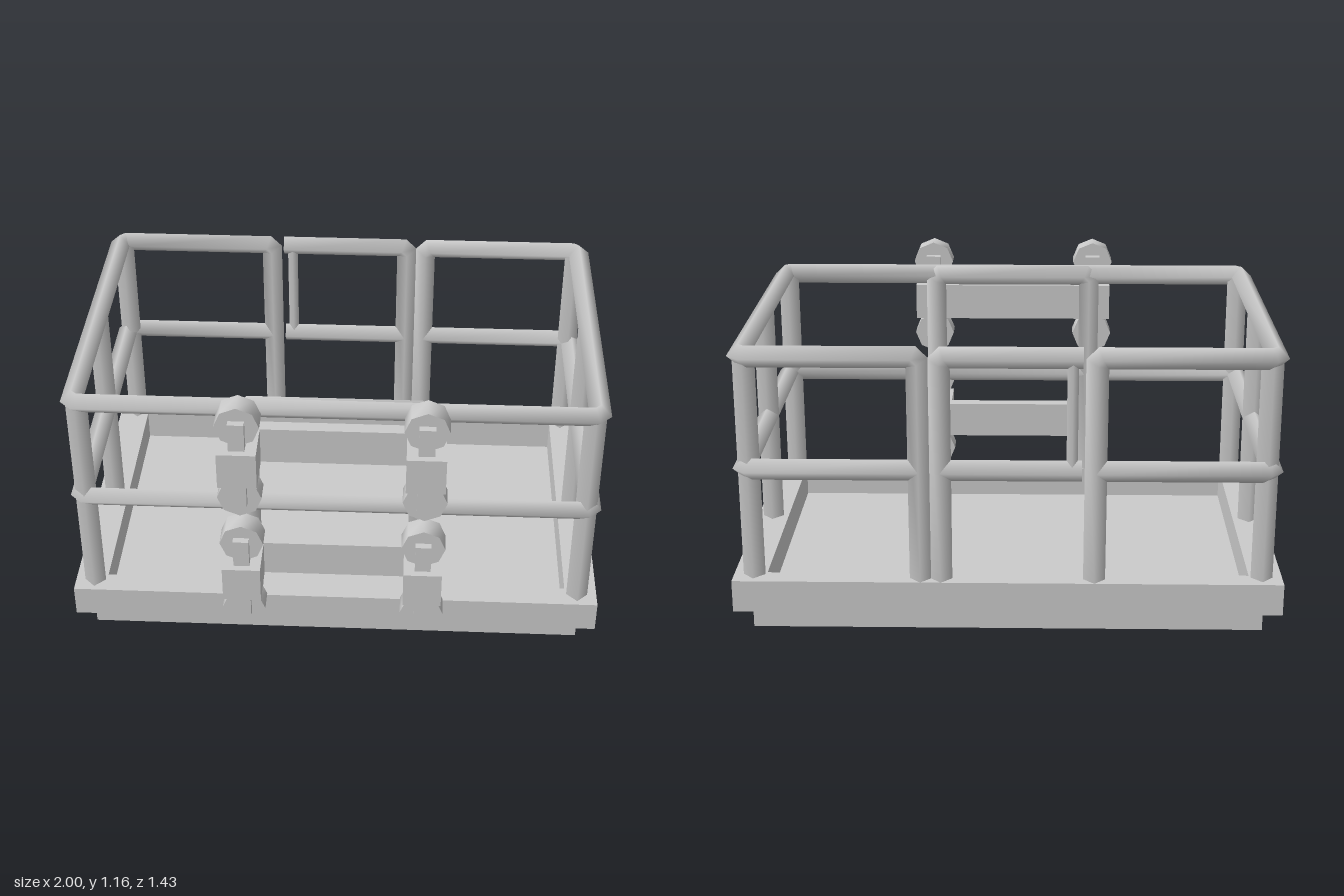
import * as THREE from 'three';
import { toCreasedNormals } from 'three/addons/utils/BufferGeometryUtils.js';

const SIDES = 4, R = 0.04, TOP = 1.045, MID = 0.625, DECK = 0.205;
const X = 0.94, ZF = 0.495, ZB = -0.675; // rail centre lines
const V = (x, y, z) => new THREE.Vector3(x, y, z);

export function createModel() {
  const group = new THREE.Group();
  const material = new THREE.MeshStandardMaterial({ color: 0xcccccc });

  const add = (name, geometry, x = 0, y = 0, z = 0) => {
    const mesh = new THREE.Mesh(geometry, material);
    mesh.name = name;
    mesh.position.set(x, y, z);
    group.add(mesh);
  };
  // box from its minimum and maximum corners
  const box = (name, x0, x1, y0, y1, z0, z1) =>
    add(name, new THREE.BoxGeometry(x1 - x0, y1 - y0, z1 - z0), (x0 + x1) / 2, (y0 + y1) / 2, (z0 + z1) / 2);
  const pipe = (name, corners, r = R) => add(name, pipeGeometry(corners, r));

  // Deck: solid floor slab with a raised rim around it
  box('floorSlab', -0.935, 0.935, 0, 0.084, -0.663, 0.487);
  const rim = rectangle(new THREE.Shape(), 1, -0.715, 0.54);
  rim.holes.push(rectangle(new THREE.Path(), 0.88, -0.635, 0.45));
  const rimGeometry = new THREE.ExtrudeGeometry(rim, { depth: DECK - 0.084, bevelEnabled: false });
  rimGeometry.rotateX(-Math.PI / 2);
  add('deckRim', rimGeometry, 0, 0.084, 0);

  // Guard rails, left open at the back for the gate; the top one bends down into posts
  const loop = (y) => [V(-0.315, y, ZB), V(-X, y, ZB), V(-X, y, ZF), V(X, y, ZF), V(X, y, ZB), V(0.315, y, ZB)];
  pipe('topRail', [V(-0.315, DECK, ZB), ...loop(TOP), V(0.315, DECK, ZB)]);
  pipe('middleRail', loop(MID));
  for (const [side, s] of [['left', 1], ['right', -1]]) {
    pipe(side + 'FrontPost', [V(s * 0.925, DECK, 0.48), V(s * 0.925, TOP, 0.48)]);
    pipe(side + 'MiddlePost', [V(s * X, DECK, -0.09), V(s * X, TOP, -0.09)]);
    pipe(side + 'BackPost', [V(s * 0.925, DECK, -0.65), V(s * 0.925, TOP, -0.65)]);
  }
  // hoop that carries the roller brackets
  pipe('frontHoop', [V(-0.315, DECK, 0.48), V(-0.315, TOP, 0.48), V(0.315, TOP, 0.48), V(0.315, DECK, 0.48)]);

  // Gate
  pipe('gateFrame', [V(-0.265, TOP, ZB), V(0.24, TOP, ZB), V(0.24, DECK, ZB)]);
  pipe('gateMiddleRail', [V(-0.265, MID, ZB), V(0.24, MID, ZB)]);
  pipe('gateUpright', [V(-0.23, MID, ZB), V(-0.23, TOP, ZB)], 0.02);

  // Two roller brackets on the front
  const rollerGeometry = toCreasedNormals(new THREE.CylinderGeometry(0.08, 0.08, 0.084, 8).rotateX(Math.PI / 2), 0.9);
  for (const [level, y] of [['upper', 0.923], ['lower', 0.403]]) {
    box(level + 'BracketBeam', -0.262, 0.262, y - 0.071, y + 0.071, 0.506, 0.555);
    for (const s of [-1, 1]) {
      const x = s * 0.331;
      box(level + 'BracketBlock', x - 0.07, x + 0.07, y - 0.071, y + 0.071, 0.506, 0.715);
      box(level + 'RollerHolder', x - 0.029, x + 0.029, y - 0.175, y + 0.181, 0.55, 0.69);
      for (const t of [-1, 1]) add(level + 'Roller', rollerGeometry, x, y + t * 0.154, 0.622);
    }
  }
  return group;
}

// Rectangle outline; the outline's y axis is -z
function rectangle(path, x, z0, z1) {
  path.moveTo(-x, -z1);
  path.lineTo(x, -z1);
  path.lineTo(x, -z0);
  path.lineTo(-x, -z0);
  path.closePath();
  return path;
}

// Capped four-sided smooth pipe along a path, with chamfered and mitred corners
function pipeGeometry(corners, r) {
  const points = [];
  corners.forEach((p, i) => {
    if (i === 0 || i === corners.length - 1) return points.push(p);
    for (const q of [corners[i - 1], corners[i + 1]])
      points.push(p.clone().add(q.clone().sub(p).setLength(0.02)));
  });
  const last = points.length - 1;
  const direction = (i) => points[i + 1].clone().sub(points[i]).normalize();

  // first cross-section, then slide it along each stretch onto the next mitre plane
  const u = Math.abs(direction(0).y) > 0.5 ? V(1, 0, 0) : V(0, 1, 0);
  const v = direction(0).cross(u);
  let ring = Array.from({ length: SIDES }, (_, k) => {
    const angle = (k / SIDES) * Math.PI * 2;
    return u.clone().multiplyScalar(r * Math.cos(angle)).addScaledVector(v, r * Math.sin(angle));
  });
  const positions = [], normals = [], index = [];
  const addRing = (p, capNormal) => ring.forEach((offset) => {
    positions.push(...p.clone().add(offset).toArray());
    normals.push(...(capNormal || offset.clone().normalize()).toArray());
  });
  const startCap = (last + 1) * SIDES, endCap = startCap + SIDES;
  const firstRing = ring;
  points.forEach((p, i) => {
    if (i > 0) {
      const a = direction(i - 1);
      const plane = i < last ? a.clone().add(direction(i)) : a;
      ring = ring.map((o) => o.clone().addScaledVector(a, -o.dot(plane) / a.dot(plane)));
    }
    addRing(p);
    for (let k = 0; i < last && k < SIDES; k++) {
      const k0 = i * SIDES + k, k1 = i * SIDES + ((k + 1) % SIDES);
      index.push(k0, k1, k0 + SIDES, k1, k1 + SIDES, k0 + SIDES);
    }
  });
  const lastRing = ring;
  ring = firstRing;
  addRing(points[0], direction(0).negate());
  ring = lastRing;
  addRing(points[last], direction(last - 1));
  for (let k = 1; k < SIDES - 1; k++)
    index.push(startCap, startCap + k + 1, startCap + k, endCap, endCap + k, endCap + k + 1);

  const geometry = new THREE.BufferGeometry();
  geometry.setAttribute('position', new THREE.Float32BufferAttribute(positions, 3));
  geometry.setAttribute('normal', new THREE.Float32BufferAttribute(normals, 3));
  geometry.setIndex(index);
  return geometry;
}
